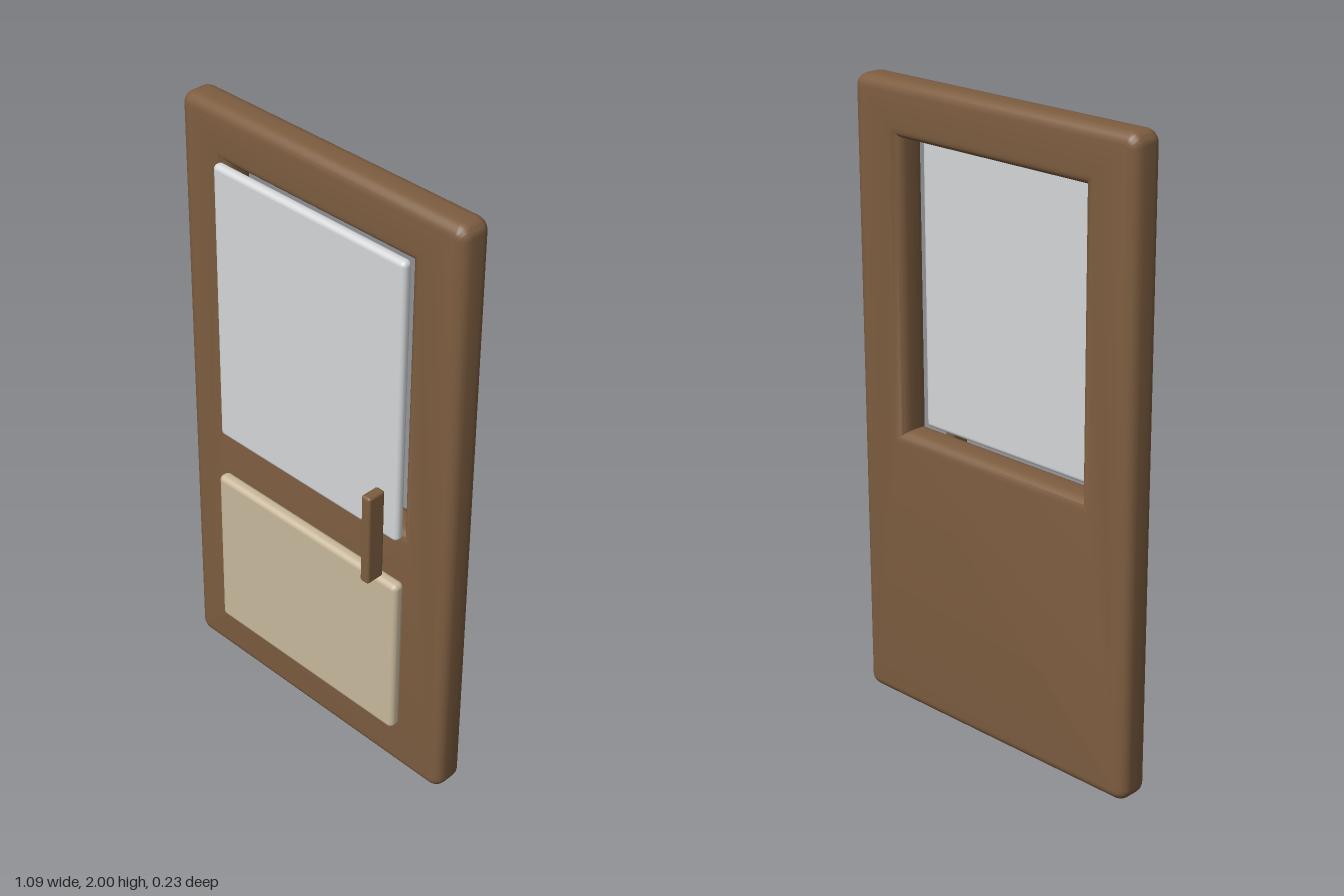
import * as THREE from 'three';
import { toCreasedNormals } from 'three/addons/utils/BufferGeometryUtils.js';
import { RoundedBoxGeometry } from 'three/addons/geometries/RoundedBoxGeometry.js';

// Traces a rectangle with rounded corners
function roundedRect(path, x0, y0, x1, y1, r) {
  path.absarc(x1 - r, y0 + r, r, -Math.PI / 2, 0);
  path.absarc(x1 - r, y1 - r, r, 0, Math.PI / 2);
  path.absarc(x0 + r, y1 - r, r, Math.PI / 2, Math.PI);
  path.absarc(x0 + r, y0 + r, r, Math.PI, Math.PI * 1.5);
  path.closePath();
  return path;
}

// Rounded box given by its two opposite corners
function slab(name, material, min, max, radius) {
  const [w, h, d] = max.map((v, i) => v - min[i]);
  const mesh = new THREE.Mesh(new RoundedBoxGeometry(w, h, d, 4, radius), material);
  mesh.position.set(...max.map((v, i) => (v + min[i]) / 2));
  mesh.name = name;
  return mesh;
}

export function createModel() {
  const wood = new THREE.MeshStandardMaterial({ color: 0x7d5d40 });
  const beige = new THREE.MeshStandardMaterial({ color: 0xc8b89c });
  const glass = new THREE.MeshStandardMaterial({ color: 0xd4d6d8 });
  wood.name = 'brown wood';
  beige.name = 'beige panel';
  glass.name = 'pale glass';

  const group = new THREE.Group();
  group.name = 'door';

  // Door leaf with softened edges and a window opening
  const bevel = 0.035, depth = 0.11;
  const outline = roundedRect(new THREE.Shape(), -0.543, 0, 0.543, 2, 0.04);
  const opening = new THREE.Path();
  opening.moveTo(-0.357, 0.922);
  opening.lineTo(-0.357, 1.83);
  opening.lineTo(0.357, 1.83);
  opening.lineTo(0.357, 0.922);
  opening.closePath();
  outline.holes.push(opening);
  const leafGeometry = new THREE.ExtrudeGeometry(outline, {
    depth: depth - 2 * bevel,
    bevelEnabled: true,
    bevelThickness: bevel,
    bevelSize: bevel,
    bevelOffset: -bevel,
    bevelSegments: 5,
    curveSegments: 6,
  });
  leafGeometry.translate(0, 0, -0.115 + bevel);
  const leaf = new THREE.Mesh(toCreasedNormals(leafGeometry, 0.7), wood);
  leaf.name = 'doorLeaf';
  group.add(leaf);

  // Window pane, lower panel and pull handle on the front
  group.add(
    slab('windowPane', glass, [-0.373, 0.908, -0.004], [0.373, 1.845, 0.031], 0.016),
    slab('lowerPanel', beige, [-0.381, 0.182, -0.005], [0.381, 0.75, 0.038], 0.018),
    slab('handle', wood, [0.311, 0.787, 0.051], [0.345, 1.098, 0.115], 0.009),
  );
  return group;
}
